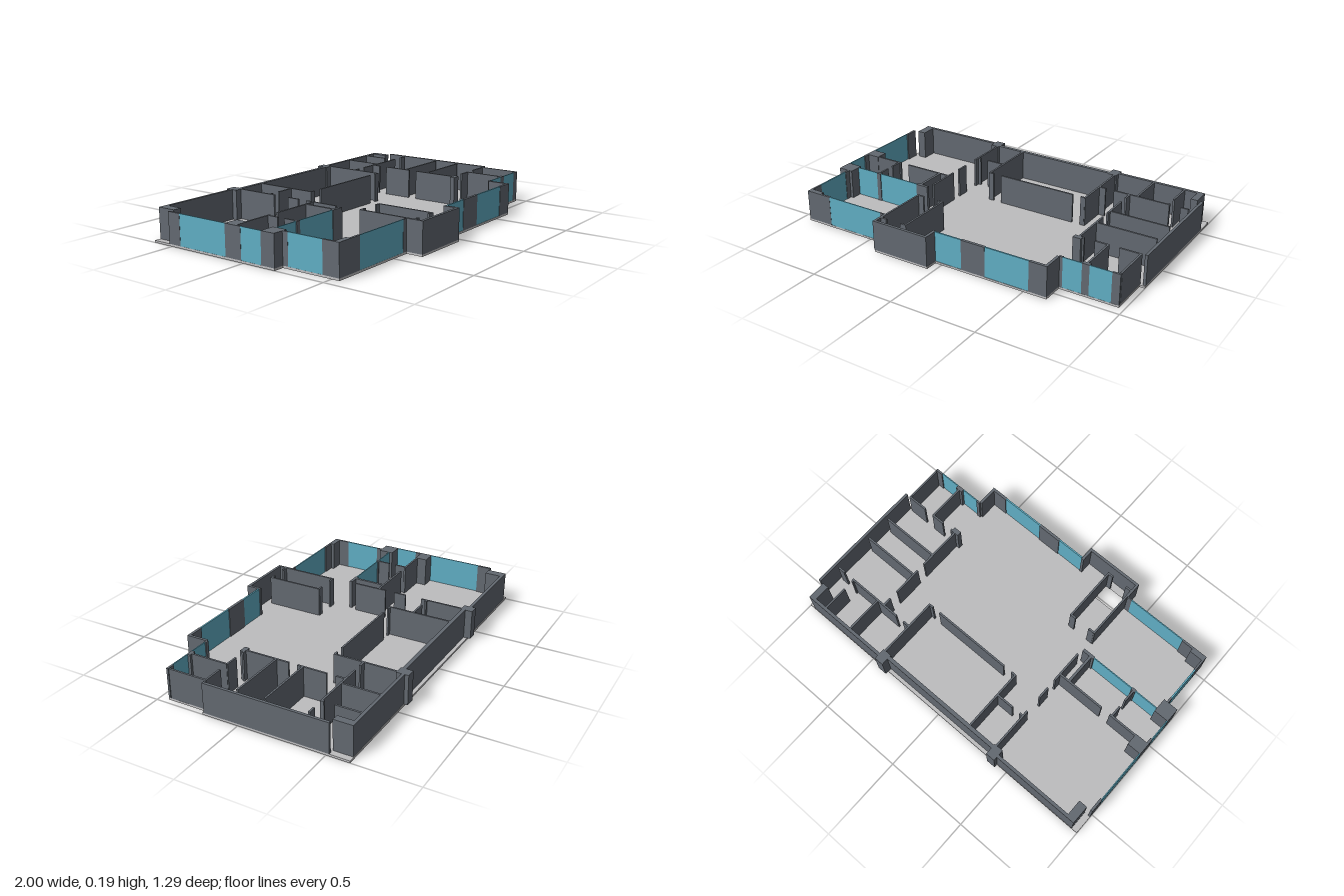
import * as THREE from 'three';

const FLOOR = 0.012, TOP = 0.185;

export function createModel() {
  const model = new THREE.Group();
  model.name = 'officeFloorPlan';
  const make = (name, color) => new THREE.MeshStandardMaterial({ name, color });
  const wallMat = make('wallGrey', 0x636971);
  const glassMat = make('windowBlue', 0x60aec4);
  const floorMat = make('floorGrey', 0xbdbdbf);

  // Full-height block between plan corners
  const block = (name, x0, x1, z0, z1, mat = wallMat) => {
    const mesh = new THREE.Mesh(new THREE.BoxGeometry(x1 - x0, TOP - FLOOR, z1 - z0), mat);
    mesh.name = name;
    mesh.position.set((x0 + x1) / 2, (FLOOR + TOP) / 2, (z0 + z1) / 2);
    model.add(mesh);
  };
  // Wall runs along x or z, broken by doorways: spans are [from, to]
  const runX = (name, z, t, spans, mat) =>
    spans.forEach(([a, b]) => block(name, a, b, z - t / 2, z + t / 2, mat));
  const runZ = (name, x, t, spans, mat) =>
    spans.forEach(([a, b]) => block(name, x - t / 2, x + t / 2, a, b, mat));

  // Floor slab with stairwell opening
  const plan = (pts) => pts.map(([x, z]) => new THREE.Vector2(x, -z));
  const outline = new THREE.Shape(plan([
    [-1, -0.63], [1, -0.63], [1, 0.213], [0.97, 0.213], [0.97, 0.447], [0.635, 0.447],
    [0.635, 0.57], [-0.04, 0.57], [-0.04, 0.642], [-0.39, 0.642], [-0.39, 0.547],
    [-0.94, 0.547], [-0.94, 0.205], [-1, 0.205],
  ]));
  outline.holes.push(new THREE.Path(plan([[-0.378, 0.485], [-0.22, 0.485], [-0.22, 0.582], [-0.378, 0.582]])));
  const slab = new THREE.ExtrudeGeometry(outline, { depth: FLOOR, bevelEnabled: false });
  slab.rotateX(-Math.PI / 2);
  const floor = new THREE.Mesh(slab, floorMat);
  floor.name = 'floorSlab';
  model.add(floor);

  // Structural columns
  block('backColumn', -0.435, -0.38, -0.65, -0.58);
  block('backColumn', 0.38, 0.435, -0.65, -0.58);
  block('cornerColumn', -0.963, -0.912, -0.628, -0.518);
  block('cornerColumn', 0.925, 0.965, -0.628, -0.518);
  block('sideColumn', -1, -0.914, -0.117, -0.045);
  block('sideColumn', -1, -0.91, 0.12, 0.205);
  block('frontCornerPier', -0.94, -0.85, 0.515, 0.547);
  block('frontCornerPier', -0.85, -0.78, 0.534, 0.547);

  // Outer walls
  runX('backWall', -0.619, 0.018, [[-0.912, -0.435], [0.435, 0.925]]);
  runX('backWall', -0.598, 0.022, [[-0.38, 0.38]]);
  runZ('rightOuterWall', -0.993, 0.014, [[-0.518, -0.437], [-0.045, -0.012]]);
  runZ('leftOuterWall', 0.992, 0.016, [[-0.518, 0.205]]);
  runZ('rightFrontWall', -0.934, 0.012, [[0.205, 0.238], [0.448, 0.547]]);
  runX('frontWall', 0.562, 0.016, [[0.125, 0.27], [0.53, 0.635]]);
  runZ('frontReturnWall', 0.627, 0.016, [[0.445, 0.57]]);
  runX('entryWall', 0.44, 0.012, [[0.63, 0.652], [0.925, 0.97]]);
  block('entryPier', 0.76, 0.802, 0.424, 0.446);

  // Windows
  runZ('sideWindow', -0.996, 0.006, [[-0.437, -0.117], [-0.012, 0.12]], glassMat);
  runZ('sideWindow', -0.935, 0.009, [[0.238, 0.448]], glassMat);
  runX('frontWindow', 0.543, 0.006, [[-0.78, -0.42]], glassMat);
  runX('frontWindow', 0.563, 0.009, [[-0.04, 0.125], [0.27, 0.53]], glassMat);
  runX('entryWindow', 0.443, 0.006, [[0.652, 0.76], [0.802, 0.925]], glassMat);
  runX('officeGlass', 0.14, 0.006, [[-0.91, -0.765], [-0.74, -0.475]], glassMat);
  block('windowPost', -0.42, -0.39, 0.54, 0.547);

  // Partitions of the right-hand rooms
  const T = 0.011;
  runX('officePartition', -0.053, T, [[-0.914, -0.74], [-0.684, -0.39]]);
  runZ('officePartition', -0.754, T, [[-0.053, 0.016], [0.06, 0.13]]);
  block('officePost', -0.766, -0.74, 0.13, 0.147);
  runZ('officePartition', -0.455, 0.015, [[-0.053, 0.13]]);
  block('officePost', -0.476, -0.4, 0.13, 0.147);
  runZ('corridorPartition', -0.392, T, [[-0.58, -0.33], [-0.23, -0.157], [-0.1, 0.1]]);
  runX('closetPartition', -0.365, T, [[-0.392, -0.37], [-0.32, -0.208]]);

  // Meeting room
  runZ('meetingRoomSide', -0.211, T, [[-0.588, -0.215]]);
  runZ('meetingRoomSide', 0.422, T, [[-0.588, -0.215]]);
  runX('meetingRoomFront', -0.219, T, [[-0.205, -0.184], [-0.13, 0.346], [0.396, 0.422]]);

  // Partitions of the left-hand rooms
  runX('roomPartition', -0.39, T, [[0.422, 0.465], [0.517, 0.855], [0.92, 0.965]]);
  runZ('roomPartition', 0.66, T, [[-0.61, -0.39]]);
  runZ('roomPartition', 0.848, T, [[-0.61, -0.463], [-0.405, -0.385]]);
  runZ('roomPartition', 0.614, T, [[-0.39, -0.337], [-0.283, -0.112], [-0.06, 0.2]]);
  runX('roomPartition', -0.144, T, [[0.614, 0.965]]);
  runX('roomPartition', 0.016, T, [[0.614, 0.965]]);
  block('roomPost', 0.588, 0.635, 0.2, 0.228);
  runX('entryPartition', 0.205, T, [[0.635, 0.645], [0.706, 0.785], [0.845, 0.968]]);
  runZ('entryPartition', 0.782, T, [[0.205, 0.43]]);
  runZ('entryPartition', 0.964, T, [[0.205, 0.43]]);

  // Stairwell and its front enclosure
  runZ('stairWall', -0.382, T, [[0.25, 0.59]]);
  runZ('stairWall', -0.217, T, [[0.25, 0.59]]);
  for (const z of [0.254, 0.585])
    runX('stairDoorJamb', z, T, [[-0.38, -0.343], [-0.25, -0.217]]);
  runX('stairFrontWall', 0.635, 0.016, [[-0.392, -0.042]]);
  runZ('stairFrontSide', -0.385, 0.014, [[0.545, 0.635]]);
  runZ('stairFrontSide', -0.05, 0.016, [[0.555, 0.635]]);

  return model;
}
